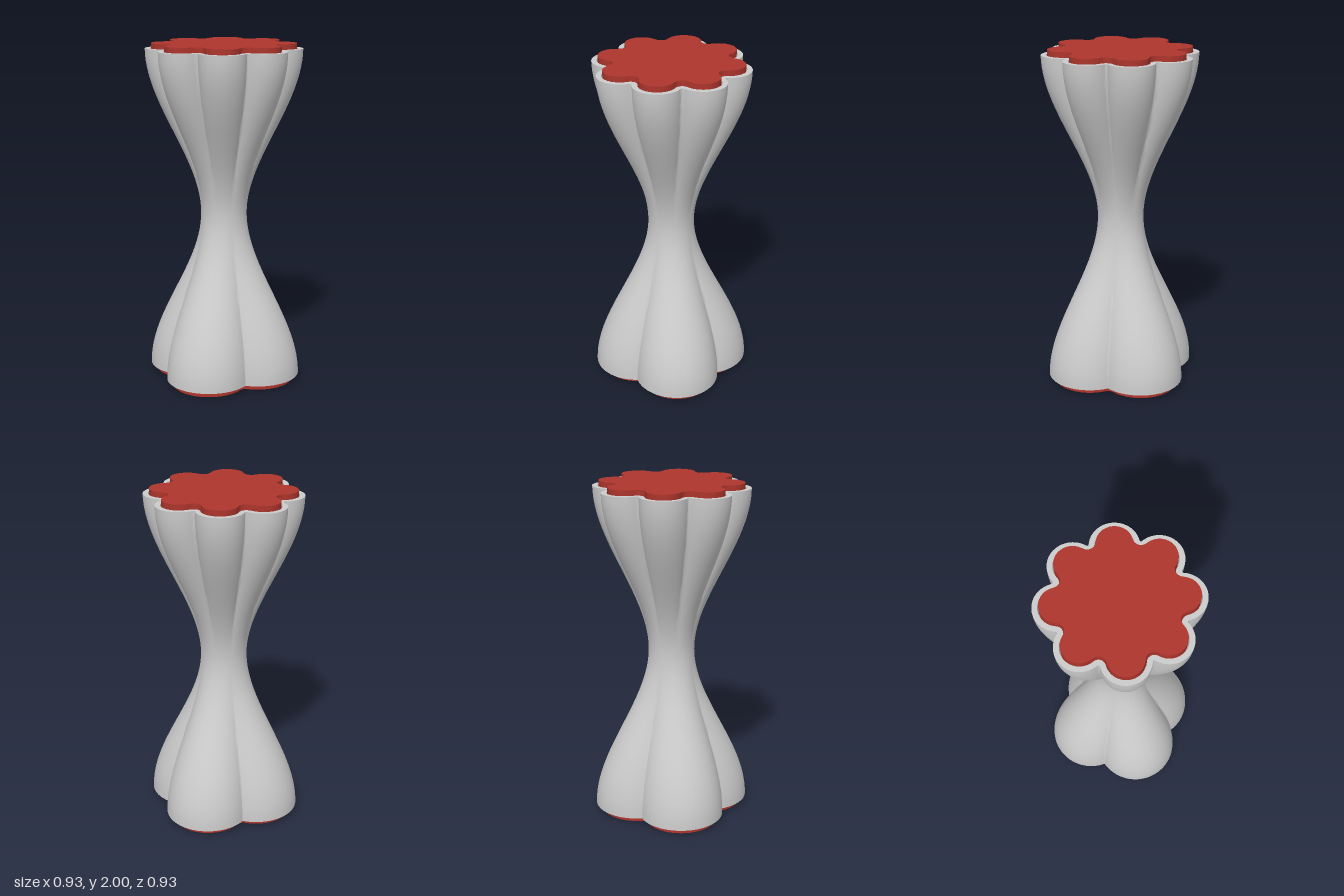
import * as THREE from 'three';
import { toCreasedNormals } from 'three/addons/utils/BufferGeometryUtils.js';

const BOTTOM = 0.035, TOP = 1.97, WAIST = 1.005, WAIST_RADIUS = 0.135;

// Lobed outlines: lobe circles of radius r at distance d, joined by small fillets f
const topLobes = { n: 8, phase: 0, d: 0.32, r: 0.1345, f: 0.008 };
const bottomLobes = { n: 4, phase: Math.PI / 4, d: 0.217, r: 0.25, f: 0.006 };

// Polar radius of an outline moved inward by inset
function lobedRadius({ n, phase, d, r, f }, angle, inset) {
  const h = Math.PI / n;
  const m = THREE.MathUtils.euclideanModulo(angle - phase, 2 * h);
  const u = Math.min(m, 2 * h - m); // angle away from the nearest valley
  const cx = d * Math.cos(h), cy = d * Math.sin(h);
  const k = cx + Math.sqrt((r + f) ** 2 - cy * cy); // fillet centre on the valley axis
  const t = (r - inset) / (r + f);
  const joint = Math.atan2(cy * (1 - t), cx + (k - cx) * t);
  if (u < joint) {
    return k * Math.cos(u) - Math.sqrt(Math.max(0, (f + inset) ** 2 - (k * Math.sin(u)) ** 2));
  }
  const a = h - u;
  return d * Math.cos(a) + Math.sqrt(Math.max(0, (r - inset) ** 2 - (d * Math.sin(a)) ** 2));
}

// Eight lobes at the top melt into a round waist, then into four lobes below
function bodyRadius(angle, y, inset) {
  const upper = y > WAIST;
  const s = THREE.MathUtils.smoothstep(Math.abs(y - WAIST), 0, upper ? TOP - WAIST : WAIST - BOTTOM);
  const end = lobedRadius(upper ? topLobes : bottomLobes, angle, inset);
  return THREE.MathUtils.lerp(WAIST_RADIUS - inset, end, s);
}

// Angles gathered closer together around the valleys
const angles = [];
const PER_SECTOR = 28;
for (let s = 0; s < 8; s++) {
  for (let i = 0; i < PER_SECTOR; i++) {
    angles.push((s + (1 - Math.cos((Math.PI * i) / PER_SECTOR)) / 2) * Math.PI / 4);
  }
}

// Skin over rows of { y, inset, scale }; a scale of 0 closes the surface
function loft(rows) {
  const N = angles.length, pos = [], index = [];
  for (const { y, inset, scale = 1 } of rows) {
    for (const a of angles) {
      const R = bodyRadius(a, y, inset) * scale;
      pos.push(R * Math.sin(a), y, R * Math.cos(a));
    }
  }
  for (let j = 0; j < rows.length - 1; j++) {
    for (let i = 0; i < N; i++) {
      const i2 = (i + 1) % N;
      const a = j * N + i, b = j * N + i2, c = b + N, d = a + N;
      if (rows[j].scale !== 0) index.push(a, b, c);
      if (rows[j + 1].scale !== 0) index.push(a, c, d);
      else index.push();
    }
  }
  // A closing row still needs one triangle per side, and so does an opening row
  const geo = new THREE.BufferGeometry();
  geo.setAttribute('position', new THREE.Float32BufferAttribute(pos, 3));
  geo.setIndex(index);
  return toCreasedNormals(geo, 1.0);
}

function wallRows(y0, y1, inset, steps) {
  return Array.from({ length: steps + 1 }, (_, i) => ({ y: y0 + ((y1 - y0) * i) / steps, inset }));
}

export function createModel() {
  const group = new THREE.Group();
  const add = (name, geometry, color) => {
    const mesh = new THREE.Mesh(geometry, new THREE.MeshStandardMaterial({ color }));
    mesh.name = name;
    group.add(mesh);
  };

  // Hollow outer shell with thin rims at both ends
  add('shell', loft([
    ...wallRows(BOTTOM, TOP, 0, 56),
    ...wallRows(TOP, BOTTOM, 0.03, 56),
    { y: BOTTOM, inset: 0 },
  ]), 0xcccccc);

  // Coloured core standing slightly proud of the shell at both ends
  add('core', loft([
    { y: 0, inset: 0.036, scale: 0 },
    { y: 0, inset: 0.036 },
    ...wallRows(BOTTOM, TOP, 0.036, 40),
    { y: 2, inset: 0.036 },
    { y: 2, inset: 0.036, scale: 0 },
  ]), 0xad352c);

  return group;
}
